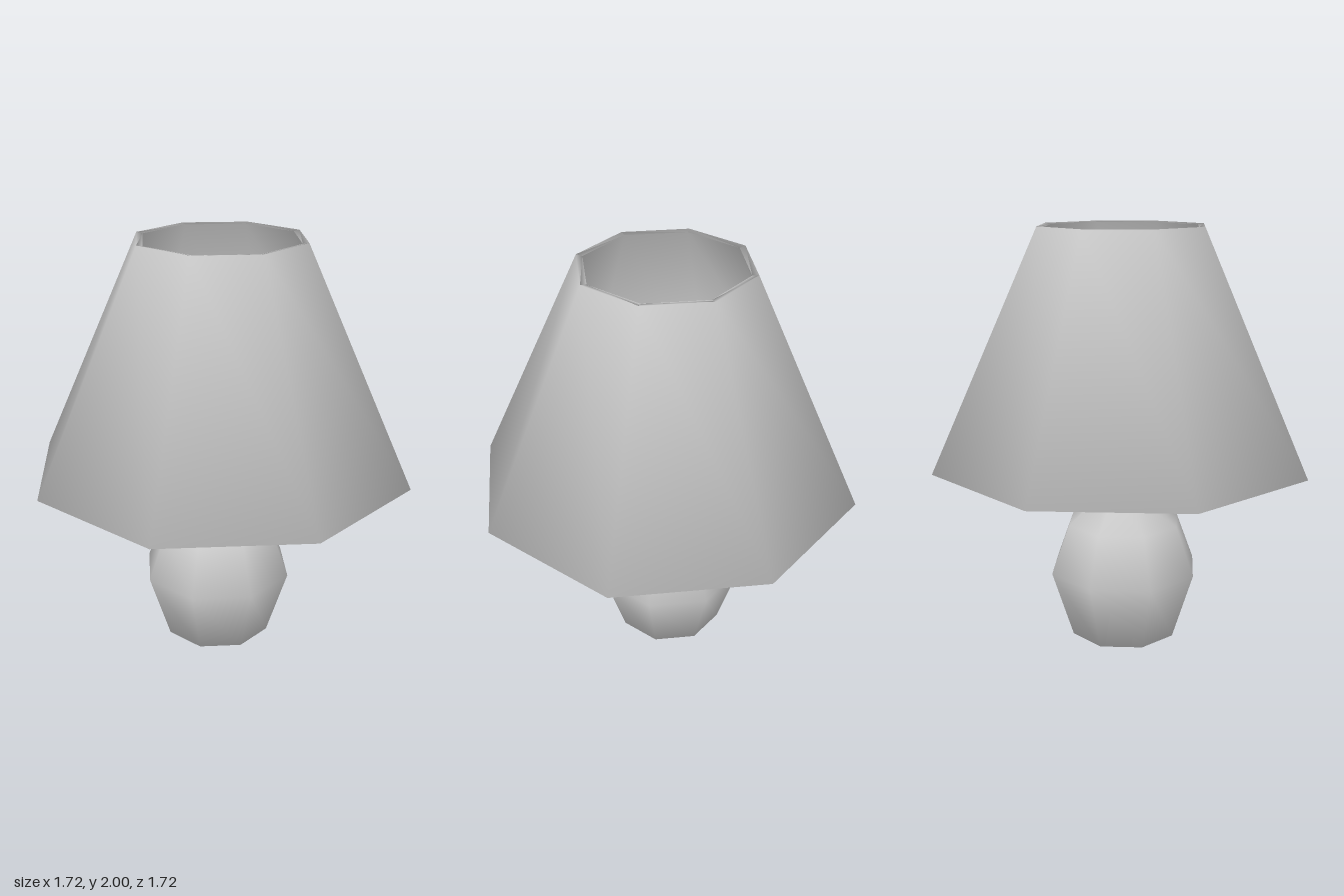
import * as THREE from 'three';
import { mergeVertices } from 'three/addons/utils/BufferGeometryUtils.js';

const SIDES = 8;
const material = new THREE.MeshStandardMaterial({ color: 0xcccccc, side: THREE.DoubleSide });

// Eight-sided turned solid with fully smoothed normals.
// Profile entries are [distance from axis to the flat side, height], from the bottom up.
function turned(name, profile) {
  const points = profile.map(([r, y]) => new THREE.Vector2(r / Math.cos(Math.PI / SIDES), y));
  let geometry = new THREE.LatheGeometry(points, SIDES, Math.PI / SIDES);
  geometry.deleteAttribute('normal');
  geometry.deleteAttribute('uv');
  geometry = mergeVertices(geometry, 1e-4);
  geometry.computeVertexNormals();
  const mesh = new THREE.Mesh(geometry, material);
  mesh.name = name;
  return mesh;
}

export function createModel() {
  const lamp = new THREE.Group();
  lamp.name = 'tableLamp';

  // Shade: closed underside, sloping outer wall, thin lip and hollow inside
  lamp.add(turned('shade', [
    [0, 0.885], [0.86, 0.885], [0.38, 2], [0.352, 1.995], [0.81, 0.91], [0, 0.91],
  ]));

  // Base and bulb share an axis slightly off the shade's centre
  const stand = new THREE.Group();
  stand.name = 'stand';
  stand.position.set(-0.018, 0, 0.008);

  // Vase-like body narrowing into the neck
  stand.add(turned('base', [
    [0, 0], [0.245, 0], [0.343, 0.33], [0.26, 0.57], [0.097, 0.725], [0.078, 0.89], [0.078, 0.98],
  ]));

  // Bulb inside the shade
  stand.add(turned('bulb', [
    [0.078, 0.97], [0.185, 1.16], [0.15, 1.3], [0.08, 1.37], [0, 1.39],
  ]));

  lamp.add(stand);
  return lamp;
}
